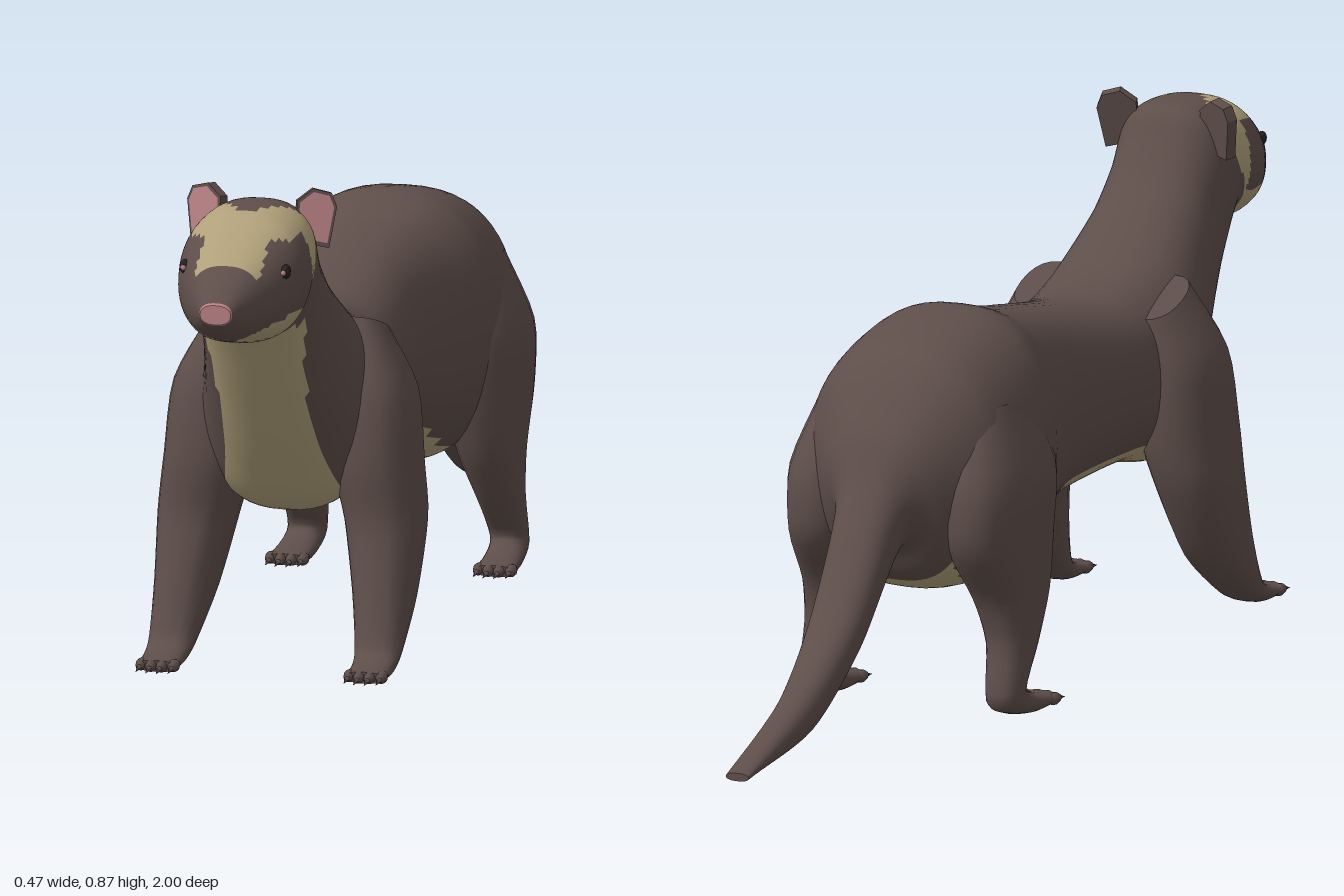
import * as THREE from 'three';

const mat = (name, color) => Object.assign(new THREE.MeshStandardMaterial({ color }), { name });
const brown = mat('brown fur', 0x5e4e4a);
const cream = mat('cream fur', 0xb0a07a);
const pink = mat('pink skin', 0xb98284);
const black = mat('dark eye', 0x2a2222);
const palette = [brown, cream, pink];

// Loft through sections [topZ, topY, bottomZ, bottomY, halfWidth, centreX].
// paint(x, y, z, v) picks the palette index; v runs from -1 (bottom) to 1 (top).
function loft(name, sections, sides, steps, paint = () => 0) {
  const top = new THREE.CatmullRomCurve3(
    sections.map(s => new THREE.Vector3(s[4], s[1], s[0])), false, 'catmullrom', 0.4);
  const bottom = new THREE.CatmullRomCurve3(
    sections.map(s => new THREE.Vector3(s[5] || 0, s[3], s[2])), false, 'catmullrom', 0.4);
  const rings = (sections.length - 1) * steps;
  const pos = [], vs = [], lists = palette.map(() => []);
  for (let i = 0; i <= rings; i++) {
    const t = top.getPoint(i / rings), b = bottom.getPoint(i / rings);
    for (let j = 0; j < sides; j++) {
      const a = (j / sides) * Math.PI * 2, c = Math.cos(a), s = Math.sin(a);
      const v = Math.sign(s) * Math.abs(s) ** 0.9, k = (v + 1) / 2;
      pos.push(b.x + t.x * Math.sign(c) * Math.abs(c) ** 0.8, b.y + (t.y - b.y) * k, b.z + (t.z - b.z) * k);
      vs.push(v);
    }
  }
  const add = (...ids) => {
    const mean = k => ids.reduce((sum, n) => sum + pos[n * 3 + k], 0) / ids.length;
    const v = ids.reduce((sum, n) => sum + vs[n], 0) / ids.length;
    const list = lists[paint(mean(0), mean(1), mean(2), v)];
    for (let n = 1; n < ids.length - 1; n++) list.push(ids[0], ids[n], ids[n + 1]);
  };
  for (let i = 0; i < rings; i++) {
    for (let j = 0; j < sides; j++) {
      const k = (j + 1) % sides, p = i * sides, q = p + sides;
      add(p + j, p + k, q + k, q + j);
    }
  }
  // End caps, with their own vertices for a crisp edge
  for (const end of [0, rings]) {
    const base = pos.length / 3;
    for (let j = 0; j < sides; j++) {
      const n = end * sides + j;
      pos.push(pos[n * 3], pos[n * 3 + 1], pos[n * 3 + 2]);
      vs.push(vs[n]);
    }
    const ids = Array.from({ length: sides }, (_, j) => base + j);
    add(...(end ? ids : ids.reverse()));
  }
  const g = new THREE.BufferGeometry();
  g.setAttribute('position', new THREE.Float32BufferAttribute(pos, 3));
  g.setIndex(lists.flat());
  let start = 0;
  lists.forEach((l, m) => {
    if (l.length) g.addGroup(start, l.length, m);
    start += l.length;
  });
  g.computeVertexNormals();
  const mesh = new THREE.Mesh(g, palette);
  mesh.name = name;
  return mesh;
}

// Fur markings: pink nose, brown mask, cream face, throat and belly
function markings(x, y, z, v) {
  const ax = Math.abs(x);
  if (z > 0.997) return 2;
  if (z > 0.62 && y > 0.64 + 0.3 * Math.max(0, 0.8 - z)) {
    const chin = y < 0.648 + ax * 0.45;
    if (z > 0.925) return chin && z < 0.95 ? 1 : 0;
    const back = Math.max(0.785 - (y - 0.68) * 0.6, y > 0.78 ? 0.8 - 1.2 * ax : 0);
    if (z < back) return 0;
    const forehead = ax < 0.057 && y > 0.755;
    return z > 0.775 && y < 0.815 && !chin && !forehead ? 0 : 1;
  }
  if (z > 0.45) return v < -0.3 && ax < 0.08 + 0.7 * (y - 0.5) ** 2 ? 1 : 0;
  return z > -0.38 && v < -0.72 && ax < 0.11 ? 1 : 0;
}

function claws(group, x, y, z) {
  for (let i = 0; i < 4; i++) {
    const off = (i - 1.5) * 0.019;
    const toe = new THREE.Mesh(new THREE.SphereGeometry(0.012, 8, 6), brown);
    toe.name = 'toe';
    toe.scale.set(0.9, 0.9, 1.7);
    toe.position.set(x + off, y, z - Math.abs(off) * 0.4);
    const claw = new THREE.Mesh(new THREE.ConeGeometry(0.006, 0.032, 6), brown);
    claw.name = 'claw';
    claw.rotation.x = Math.PI / 2 + 0.15;
    claw.position.set(x + off, y - 0.003, toe.position.z + 0.027);
    group.add(toe, claw);
  }
}

function ear(side) {
  const shape = new THREE.Shape([[-0.035, -0.05], [0.025, -0.06], [0.036, 0.012], [0.026, 0.035],
    [-0.006, 0.042], [-0.033, 0.02]].map(p => new THREE.Vector2(p[0] * side, p[1])));
  const g = new THREE.Group();
  g.name = side > 0 ? 'leftEar' : 'rightEar';
  const shell = new THREE.Mesh(new THREE.ExtrudeGeometry(shape, { depth: 0.022, bevelEnabled: false }), brown);
  shell.name = 'earShell';
  const inner = new THREE.Mesh(new THREE.ShapeGeometry(shape), pink);
  inner.name = 'innerEar';
  inner.scale.set(0.86, 0.86, 1);
  inner.position.z = 0.024;
  g.add(shell, inner);
  g.position.set(side * 0.092, 0.833, 0.675);
  g.rotation.set(-0.15, side * 0.35, 0);
  return g;
}

export function createModel() {
  const model = new THREE.Group();
  model.name = 'animal';

  // Tail, trunk, neck and head in one skin
  model.add(loft('body', [
    [-1.0, 0.042, -1.0, 0.028, 0.022],
    [-0.78, 0.13, -0.76, 0.06, 0.036],
    [-0.63, 0.25, -0.60, 0.165, 0.05],
    [-0.51, 0.43, -0.45, 0.315, 0.064],
    [-0.455, 0.535, -0.40, 0.265, 0.12],
    [-0.35, 0.65, -0.33, 0.225, 0.185],
    [-0.17, 0.69, -0.17, 0.21, 0.195],
    [-0.05, 0.66, -0.05, 0.24, 0.155],
    [0.08, 0.635, 0.1, 0.285, 0.132],
    [0.3, 0.6, 0.35, 0.295, 0.145],
    [0.45, 0.635, 0.52, 0.27, 0.155],
    [0.58, 0.73, 0.61, 0.36, 0.125],
    [0.635, 0.80, 0.71, 0.51, 0.108],
    [0.67, 0.85, 0.79, 0.635, 0.108],
    [0.73, 0.86, 0.825, 0.632, 0.114],
    [0.81, 0.85, 0.865, 0.638, 0.108],
    [0.90, 0.80, 0.92, 0.652, 0.077],
    [0.96, 0.763, 0.97, 0.675, 0.047],
    [1.0, 0.732, 1.0, 0.698, 0.027],
  ], 56, 8, markings));

  for (const side of [1, -1]) {
    const label = side > 0 ? 'left' : 'right';
    const put = rows => rows.map(r => [...r.slice(0, 5), r[5] * side]);

    // Front leg: front edge, back edge, half width, centre
    const front = new THREE.Group();
    front.name = label + 'FrontLeg';
    front.add(loft('frontLimb', put([
      [0.49, 0.61, 0.36, 0.56, 0.045, 0.11],
      [0.545, 0.49, 0.355, 0.47, 0.07, 0.142],
      [0.565, 0.36, 0.36, 0.34, 0.076, 0.15],
      [0.563, 0.26, 0.38, 0.25, 0.069, 0.166],
      [0.59, 0.15, 0.45, 0.12, 0.054, 0.176],
      [0.62, 0.06, 0.56, 0.035, 0.041, 0.183],
      [0.65, 0.04, 0.625, 0.01, 0.037, 0.185],
      [0.695, 0.031, 0.695, 0.011, 0.036, 0.185],
    ]), 20, 4));
    claws(front, 0.185 * side, 0.021, 0.695);

    // Hind leg
    const hind = new THREE.Group();
    hind.name = label + 'HindLeg';
    hind.add(loft('hindLimb', put([
      [-0.18, 0.56, -0.36, 0.56, 0.05, 0.125],
      [-0.13, 0.44, -0.42, 0.43, 0.078, 0.145],
      [-0.14, 0.32, -0.42, 0.32, 0.07, 0.152],
      [-0.17, 0.22, -0.355, 0.22, 0.055, 0.163],
      [-0.225, 0.13, -0.335, 0.14, 0.04, 0.174],
      [-0.28, 0.065, -0.35, 0.035, 0.033, 0.18],
      [-0.25, 0.043, -0.265, 0.008, 0.034, 0.183],
      [-0.185, 0.031, -0.185, 0.011, 0.036, 0.185],
    ]), 20, 4));
    claws(hind, 0.185 * side, 0.021, -0.185);

    // Eye with a small pink corner
    const eye = new THREE.Mesh(new THREE.SphereGeometry(0.014, 12, 8), black);
    eye.name = label + 'Eye';
    eye.scale.set(0.6, 0.9, 1);
    eye.position.set(side * 0.09, 0.768, 0.865);
    const corner = new THREE.Mesh(new THREE.SphereGeometry(0.005, 8, 6), pink);
    corner.name = label + 'EyeCorner';
    corner.position.set(side * 0.089, 0.768, 0.878);

    model.add(front, hind, eye, corner, ear(side));
  }
  return model;
}
